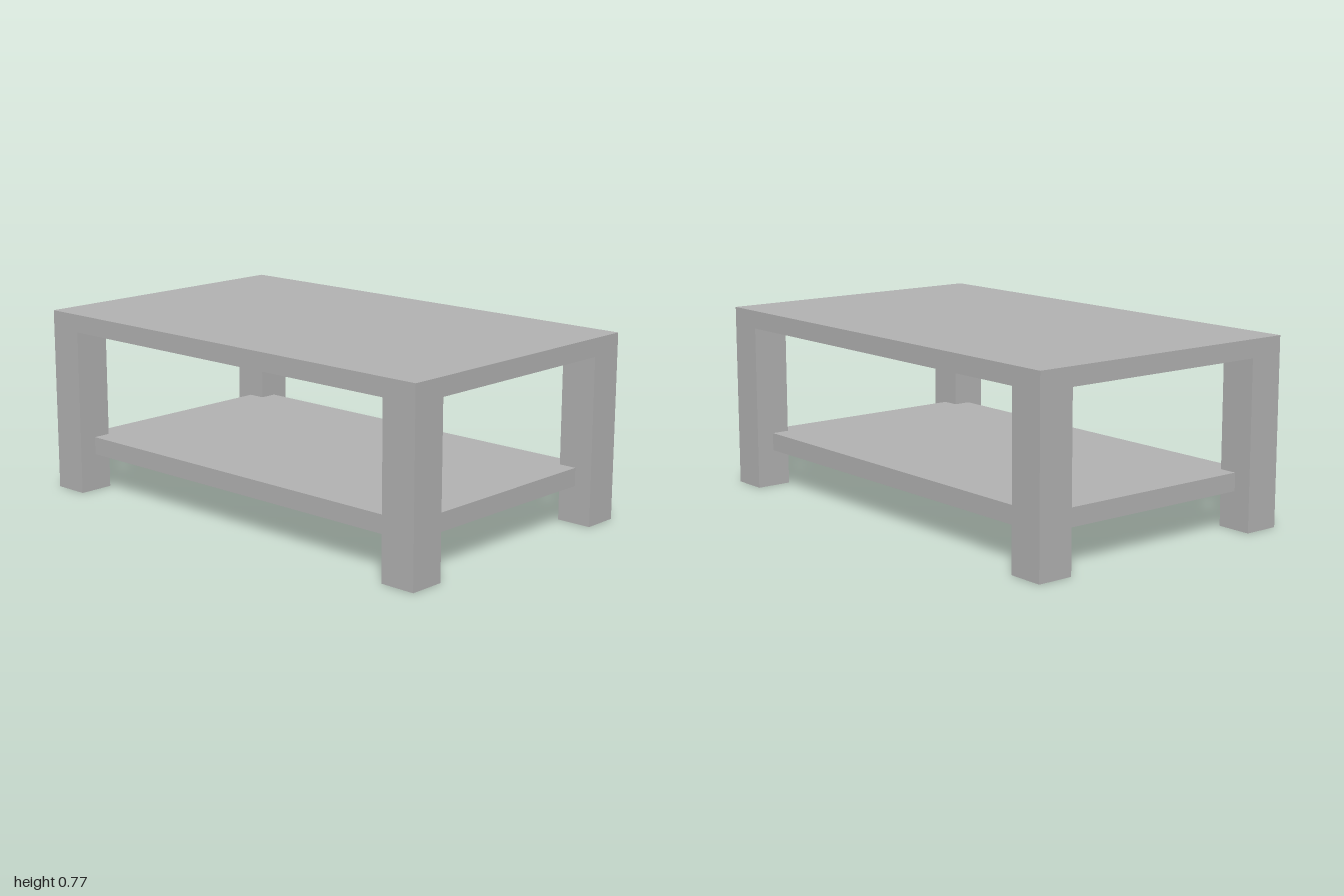
import * as THREE from 'three';

export function createModel() {
  const group = new THREE.Group();
  group.name = 'coffeeTable';
  const grey = new THREE.MeshStandardMaterial({ color: 0xb2b2b2 });
  grey.name = 'grey';

  const width = 2, depth = 1.23, height = 0.77;
  const board = 0.075, leg = 0.152;

  // Box standing on height y
  function addBox(name, w, h, d, x, y, z) {
    const mesh = new THREE.Mesh(new THREE.BoxGeometry(w, h, d), grey);
    mesh.name = name;
    mesh.position.set(x, y + h / 2, z);
    group.add(mesh);
  }

  // Table top
  addBox('tableTop', width, board, depth, 0, height - board, 0);

  // Lower shelf, its corners let halfway into the legs
  addBox('shelf', width - leg, board, depth - leg, 0, 0.156, 0);

  // Four square legs flush with the corners of the top
  for (const [side, sx] of [['Left', 1], ['Right', -1]]) {
    for (const [end, sz] of [['front', 1], ['back', -1]]) {
      addBox(end + side + 'Leg', leg, height - board, leg,
        sx * (width - leg) / 2, 0, sz * (depth - leg) / 2);
    }
  }
  return group;
}
